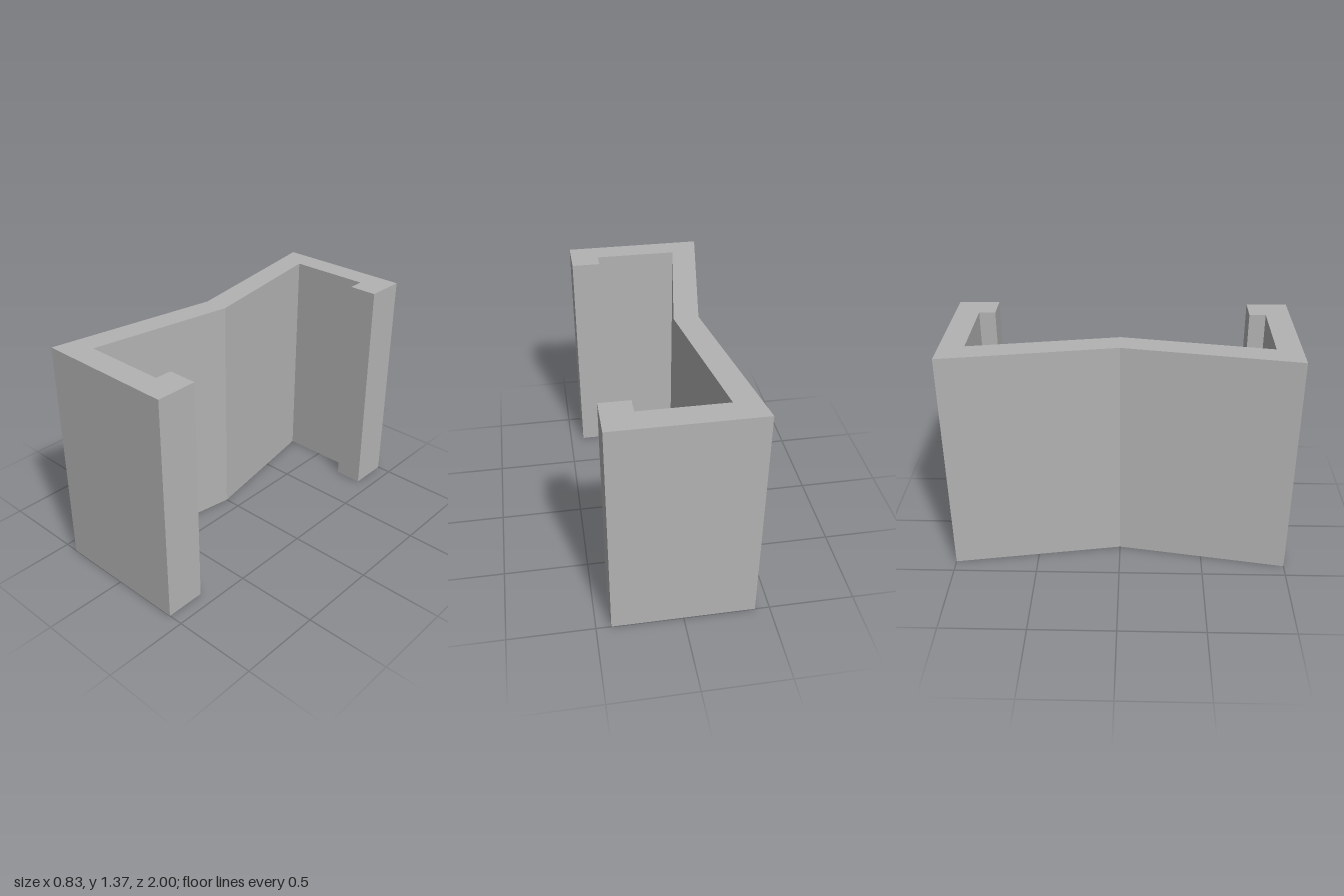
import * as THREE from 'three';

export function createModel() {
  const group = new THREE.Group();
  group.name = 'channelBracket';
  const grey = new THREE.MeshStandardMaterial({ color: 0xb3b3b3 });
  grey.name = 'plain grey';

  // Half of the plan outline: outer face of the wall, end flange, hooked lip, inner face
  const half = [
    [-0.245, 0], [-0.415, -1], [0.413, -1], [0.413, -0.76],
    [0.243, -0.76], [0.243, -0.857], [-0.245, -0.857], [-0.1, 0],
  ];
  // Mirror it across z = 0, leaving out the two points on the axis
  const mirrored = half.slice(1, -1).reverse().map(([x, z]) => [x, -z]);
  const outline = [...half, ...mirrored].map(([x, z]) => new THREE.Vector2(x, -z));

  // Extrude the plan upwards
  const geometry = new THREE.ExtrudeGeometry(new THREE.Shape(outline), {
    depth: 1.368, bevelEnabled: false,
  });
  geometry.rotateX(-Math.PI / 2);

  const profile = new THREE.Mesh(geometry, grey);
  profile.name = 'bentChannelProfile';
  group.add(profile);
  return group;
}
